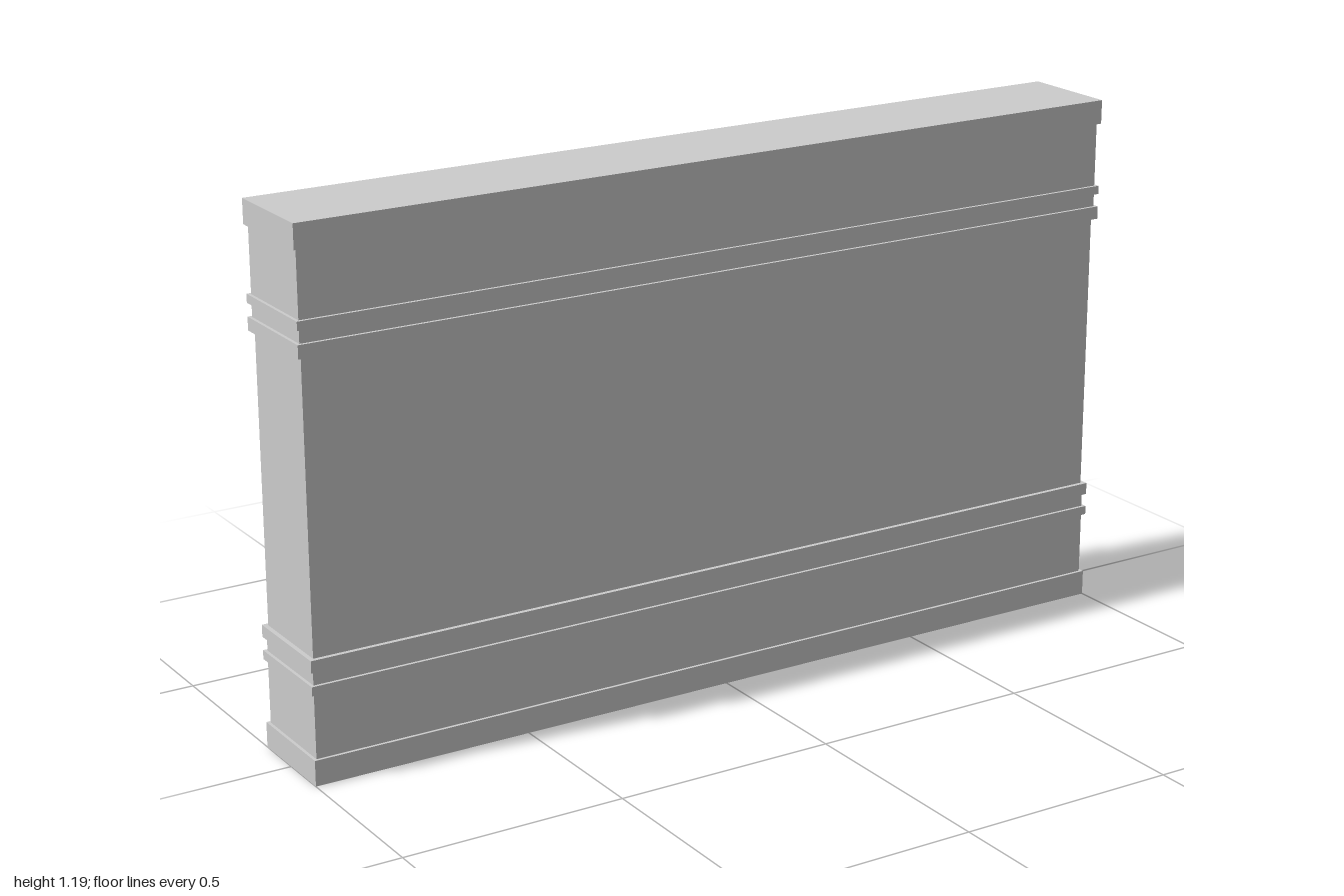
import * as THREE from 'three';

const HALF_X = 1, HALF_Z = 0.116;

// Rectangular outline at height y, pulled in from the full footprint
function ring(y, inset) {
  const x = HALF_X - inset, z = HALF_Z - inset;
  return [[x, y, z], [x, y, -z], [-x, y, -z], [-x, y, z]];
}

// Open shell joining successive outlines, with hard edges
function shell(rings) {
  const pos = [];
  for (let r = 0; r < rings.length - 1; r++) {
    for (let i = 0; i < 4; i++) {
      const j = (i + 1) % 4;
      const a = rings[r][i], b = rings[r][j], c = rings[r + 1][j], d = rings[r + 1][i];
      pos.push(...a, ...b, ...c, ...a, ...c, ...d);
    }
  }
  const geo = new THREE.BufferGeometry();
  geo.setAttribute('position', new THREE.Float32BufferAttribute(pos, 3));
  geo.computeVertexNormals();
  return geo;
}

export function createModel() {
  const group = new THREE.Group();
  const material = new THREE.MeshStandardMaterial({ color: 0xcccccc, side: THREE.DoubleSide });
  const add = (name, geo) => {
    const mesh = new THREE.Mesh(geo, material);
    mesh.name = name;
    group.add(mesh);
    return mesh;
  };

  // Sections from the ground up: name, bottom height, inset
  const sections = [
    ['plinth', 0, 0],
    ['lowerPanel', 0.057, 0.007],
    ['lowerThinBand', 0.2, 0],
    ['lowerGroove', 0.22, 0.007],
    ['lowerWideBand', 0.25, 0],
    ['mainPanel', 0.277, 0.01],
    ['upperWideBand', 0.915, 0],
    ['upperGroove', 0.944, 0.007],
    ['upperThinBand', 0.973, 0],
    ['upperPanel', 0.992, 0.007],
    ['coping', 1.136, 0],
  ];
  const height = 1.19;

  // Each section is a wall plus the ledge leading to the next one
  sections.forEach(([name, y, inset], i) => {
    const next = sections[i + 1];
    const top = next ? next[1] : height;
    const rings = [ring(y, inset), ring(top, inset)];
    if (next) rings.push(ring(top, next[2]));
    add(name, shell(rings));
  });

  // Flat top; the underside stays open
  const cap = add('topFace', new THREE.PlaneGeometry(HALF_X * 2, HALF_Z * 2).rotateX(-Math.PI / 2));
  cap.position.y = height;

  return group;
}
